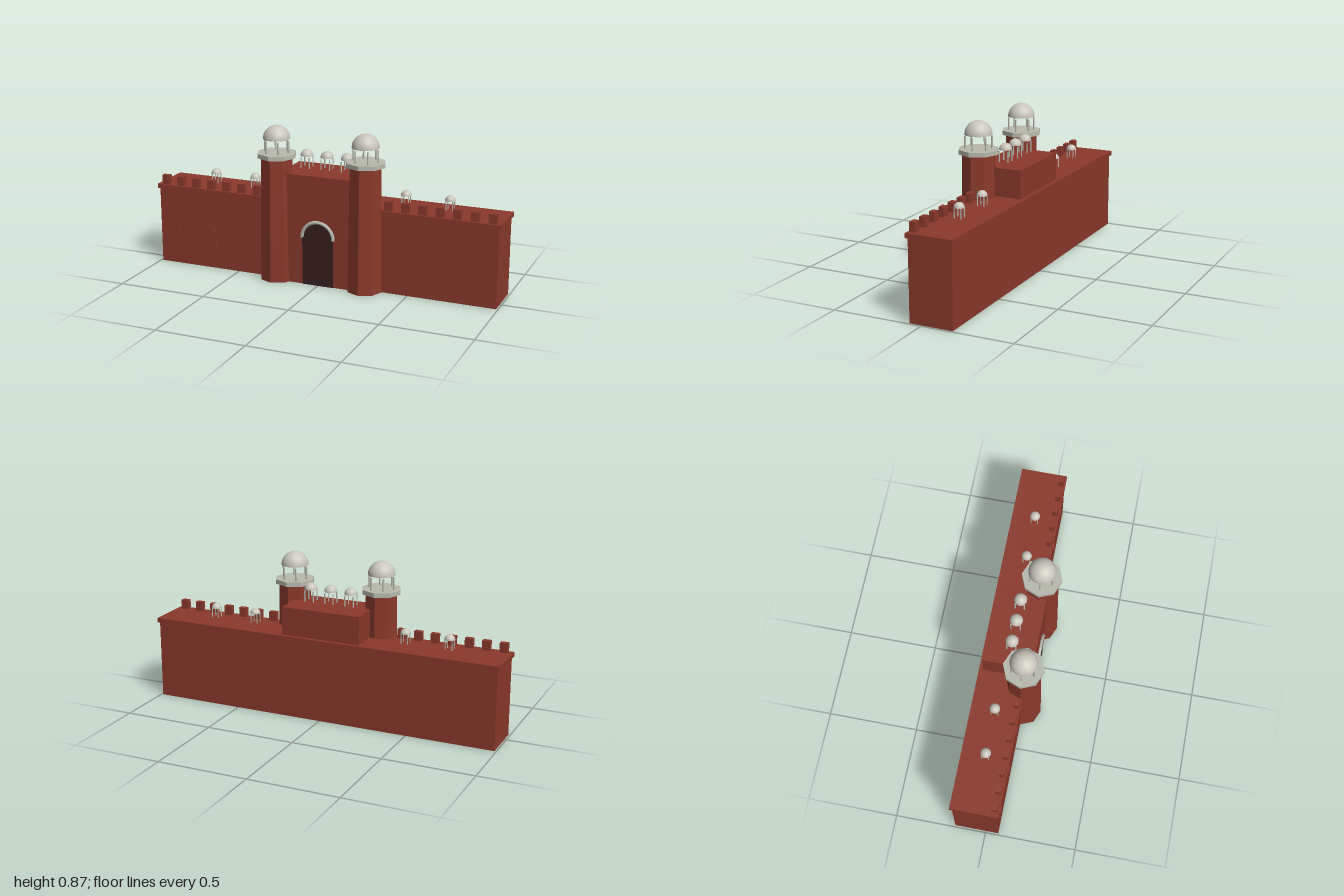
import * as THREE from 'three';

const mat = (name, color, extra = {}) => {
  const m = new THREE.MeshStandardMaterial({ color, ...extra });
  m.name = name;
  return m;
};

export function createModel() {
  const root = new THREE.Group();
  root.name = 'fortGate';
  const red = mat('redSandstone', 0x8b3a2b, { flatShading: true });
  const white = mat('domeStone', 0xcac6bd, { side: THREE.DoubleSide });
  const trim = mat('trimStone', 0xb9baae, { flatShading: true });
  const dark = mat('doorShadow', 0x38201f);

  const add = (parent, name, geo, material, x = 0, y = 0, z = 0) => {
    const m = new THREE.Mesh(geo, material);
    m.name = name;
    m.position.set(x, y, z);
    parent.add(m);
    return m;
  };
  // Box given by its centre in x and its limits in y and z
  const box = (name, w, x, y0, y1, z0, z1) =>
    add(root, name, new THREE.BoxGeometry(w, y1 - y0, z1 - z0), red, x, (y0 + y1) / 2, (z0 + z1) / 2);

  // Round-headed plate standing on y = 0
  const archPlate = (halfWidth, spring, depth) => {
    const s = new THREE.Shape();
    s.moveTo(-halfWidth, 0);
    s.lineTo(halfWidth, 0);
    s.lineTo(halfWidth, spring);
    s.absarc(0, spring, halfWidth, 0, Math.PI, false);
    s.closePath();
    return new THREE.ExtrudeGeometry(s, { depth, bevelEnabled: false, curveSegments: 16 });
  };

  // Open pavilion: ring of posts under a hemispherical dome
  const kiosk = (name, x, z, o) => {
    const g = new THREE.Group();
    g.name = name;
    g.position.set(x, 0, z);
    const h = o.postTop - o.postBase;
    for (let i = 0; i < o.posts; i++) {
      const a = o.start + (i / o.posts) * Math.PI * 2;
      add(g, 'post', new THREE.CylinderGeometry(o.postR, o.postR, h, 8), trim,
        Math.cos(a) * o.ring, o.postBase + h / 2, Math.sin(a) * o.ring);
    }
    add(g, 'dome', new THREE.SphereGeometry(o.domeR, 24, 10, 0, Math.PI * 2, 0, Math.PI / 2), white, 0, o.domeY, 0);
    root.add(g);
  };

  // Curtain wall, coping and gate block
  box('curtainWall', 1.98, 0, 0, 0.435, -0.17, 0.07);
  box('wallCoping', 2, 0, 0.435, 0.46, -0.18, 0.08);
  box('gateBlock', 0.45, 0, 0, 0.615, -0.158, 0.11);

  // Gateway
  add(root, 'doorway', archPlate(0.09, 0.27, 0.004), dark, 0, 0, 0.11);
  add(root, 'doorArch', new THREE.TorusGeometry(0.091, 0.01, 8, 24, Math.PI), trim, 0, 0.27, 0.115);

  for (const s of [-1, 1]) {
    // Battlements and blind arches
    for (let i = 0; i < 7; i++) box('merlon', 0.043, s * (0.952 - i * 0.0945), 0.46, 0.512, 0.04, 0.07);
    for (const x of [0.448, 0.67, 0.893]) add(root, 'blindArch', archPlate(0.03, 0.09, 0.004), red, s * x, 0.12, 0.07);

    // Octagonal tower with platform and pavilion
    const x = s * 0.257, z = 0.07;
    add(root, 'tower', new THREE.CylinderGeometry(0.09, 0.1, 0.693, 8), red, x, 0.3465, z);
    add(root, 'towerPlatform', new THREE.CylinderGeometry(0.11, 0.11, 0.024, 8), trim, x, 0.705, z);
    kiosk('towerKiosk', x, z, {
      posts: 6, start: 0, ring: 0.07, postR: 0.005, postBase: 0.717, postTop: 0.785, domeR: 0.074, domeY: 0.793,
    });

    // Small pavilions on the wall walk
    for (const wx of [0.445, 0.69]) {
      kiosk('wallKiosk', s * wx, -0.048, {
        posts: 4, start: Math.PI / 4, ring: 0.026, postR: 0.003, postBase: 0.47, postTop: 0.522, domeR: 0.028, domeY: 0.523,
      });
    }
  }

  // Pavilions on the gate block
  for (const x of [-0.118, 0, 0.118]) {
    kiosk('gateKiosk', x, -0.019, {
      posts: 4, start: Math.PI / 4, ring: 0.035, postR: 0.004, postBase: 0.626, postTop: 0.685, domeR: 0.035, domeY: 0.692,
    });
  }
  return root;
}
